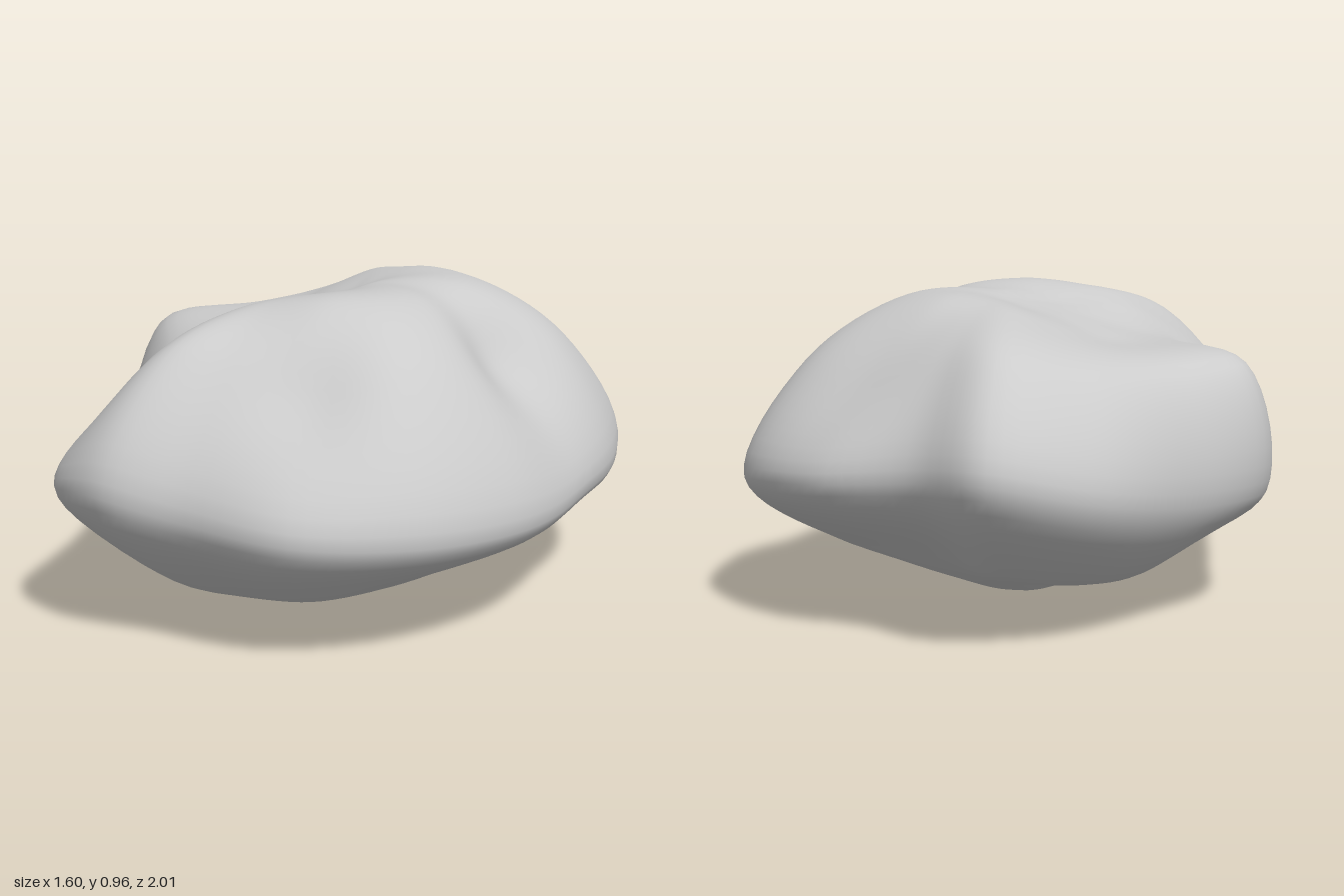
import * as THREE from 'three';

// Spokes around the rock: rim x, rim z, rim y, shoulder scale, shoulder y, crown y, belly y
const SPOKES = [
  [0.80, 0.00, 0.34, 0.78, 0.66, 0.92, 0.19],
  [0.77, 0.37, 0.34, 0.76, 0.74, 0.94, 0.19],
  [0.61, 0.72, 0.36, 0.74, 0.77, 0.95, 0.17],
  [0.34, 0.93, 0.38, 0.74, 0.72, 0.95, 0.14],
  [0.00, 0.96, 0.41, 0.74, 0.79, 0.94, 0.13],
  [-0.26, 1.00, 0.46, 0.75, 0.82, 0.92, 0.14],
  [-0.49, 0.88, 0.43, 0.79, 0.67, 0.87, 0.18],
  [-0.58, 0.64, 0.41, 0.76, 0.67, 0.84, 0.18],
  [-0.66, 0.33, 0.35, 0.80, 0.72, 0.82, 0.18],
  [-0.79, -0.07, 0.36, 0.92, 0.75, 0.81, 0.20],
  [-0.69, -0.40, 0.37, 0.87, 0.74, 0.82, 0.14],
  [-0.55, -0.78, 0.43, 0.82, 0.75, 0.86, 0.16],
  [-0.31, -1.00, 0.50, 0.80, 0.80, 0.91, 0.20],
  [-0.05, -0.93, 0.48, 0.79, 0.79, 0.93, 0.21],
  [0.28, -0.91, 0.45, 0.78, 0.71, 0.94, 0.20],
  [0.63, -0.69, 0.41, 0.79, 0.74, 0.94, 0.21],
  [0.77, -0.38, 0.36, 0.79, 0.74, 0.94, 0.20],
];

// Worn hollows: x, y, z, radius, depth
const HOLLOWS = [
  [0.54, 0.73, 0.08, 0.17, 0.04],
  [0.54, 0.74, -0.10, 0.15, 0.025],
  [0.10, 0.90, 0.00, 0.22, 0.02],
  [0.24, 0.73, 0.71, 0.15, 0.02],
  [0.60, 0.24, -0.12, 0.20, 0.04],
  [0.20, 0.24, -0.65, 0.20, 0.04],
  [-0.58, 0.22, -0.06, 0.15, 0.02],
];

const AROUND = 112, UP = 64;

function closedRing(rule) {
  const points = SPOKES.map(s => new THREE.Vector3(...rule(...s)));
  const curve = new THREE.CatmullRomCurve3(points, true);
  return Array.from({ length: AROUND }, (_, i) => curve.getPoint(i / AROUND));
}

function wear(p) {
  const centre = new THREE.Vector3(0, 0.45, 0);
  for (const [x, y, z, radius, depth] of HOLLOWS) {
    const d2 = p.distanceToSquared(new THREE.Vector3(x, y, z));
    const inward = centre.clone().sub(p).normalize();
    p.addScaledVector(inward, depth * Math.exp(-d2 / (radius * radius)));
  }
  return p;
}

function rockGeometry() {
  // Horizontal rings from underside to crown; the innermost ones lie in a plane
  const rings = [
    closedRing((x, z) => [x * 0.12, 0.003, z * 0.12]),
    closedRing((x, z) => [x * 0.38, 0.015 + 0.08 * Math.abs(x) + 0.05 * Math.max(0, -z), z * 0.38]),
    closedRing((x, z, y, s, sy, cy, by) => [x * 0.72, by, z * 0.72]),
    closedRing((x, z, y) => [x, y, z]),
    closedRing((x, z, y, s, sy) => [x * s, sy, z * s]),
    closedRing((x, z, y, s, sy, cy) => [x * 0.44, cy, z * 0.44]),
    closedRing((x, z) => [x * 0.14, 0.925 + 0.05 * x, z * 0.14]),
  ];
  const bottom = new THREE.Vector3(0, 0, 0), top = new THREE.Vector3(0, 0.925, 0);

  // Each meridian runs smoothly through both poles
  const vertices = [wear(bottom.clone()), wear(top.clone())];
  const spans = rings.length + 1;
  for (let i = 0; i < AROUND; i++) {
    const opposite = (i + AROUND / 2) % AROUND;
    const curve = new THREE.CatmullRomCurve3([
      rings[0][opposite], bottom, ...rings.map(r => r[i]), top, rings.at(-1)[opposite],
    ]);
    for (let j = 1; j < UP; j++) {
      vertices.push(wear(curve.getPoint((1 + spans * j / UP) / (spans + 2))));
    }
  }

  const index = [];
  const at = (i, j) => 2 + (i % AROUND) * (UP - 1) + j - 1;
  for (let i = 0; i < AROUND; i++) {
    index.push(0, at(i, 1), at(i + 1, 1));
    index.push(1, at(i + 1, UP - 1), at(i, UP - 1));
    for (let j = 1; j < UP - 1; j++) {
      const a = at(i, j), b = at(i + 1, j), c = at(i + 1, j + 1), d = at(i, j + 1);
      index.push(a, d, b, b, d, c);
    }
  }
  const geometry = new THREE.BufferGeometry().setFromPoints(vertices);
  geometry.setIndex(index);
  geometry.computeVertexNormals();
  return geometry;
}

export function createModel() {
  const group = new THREE.Group();
  group.name = 'rock';
  const boulder = new THREE.Mesh(rockGeometry(), new THREE.MeshStandardMaterial({ color: 0xcccccc }));
  boulder.name = 'boulder';
  group.add(boulder);
  return group;
}
